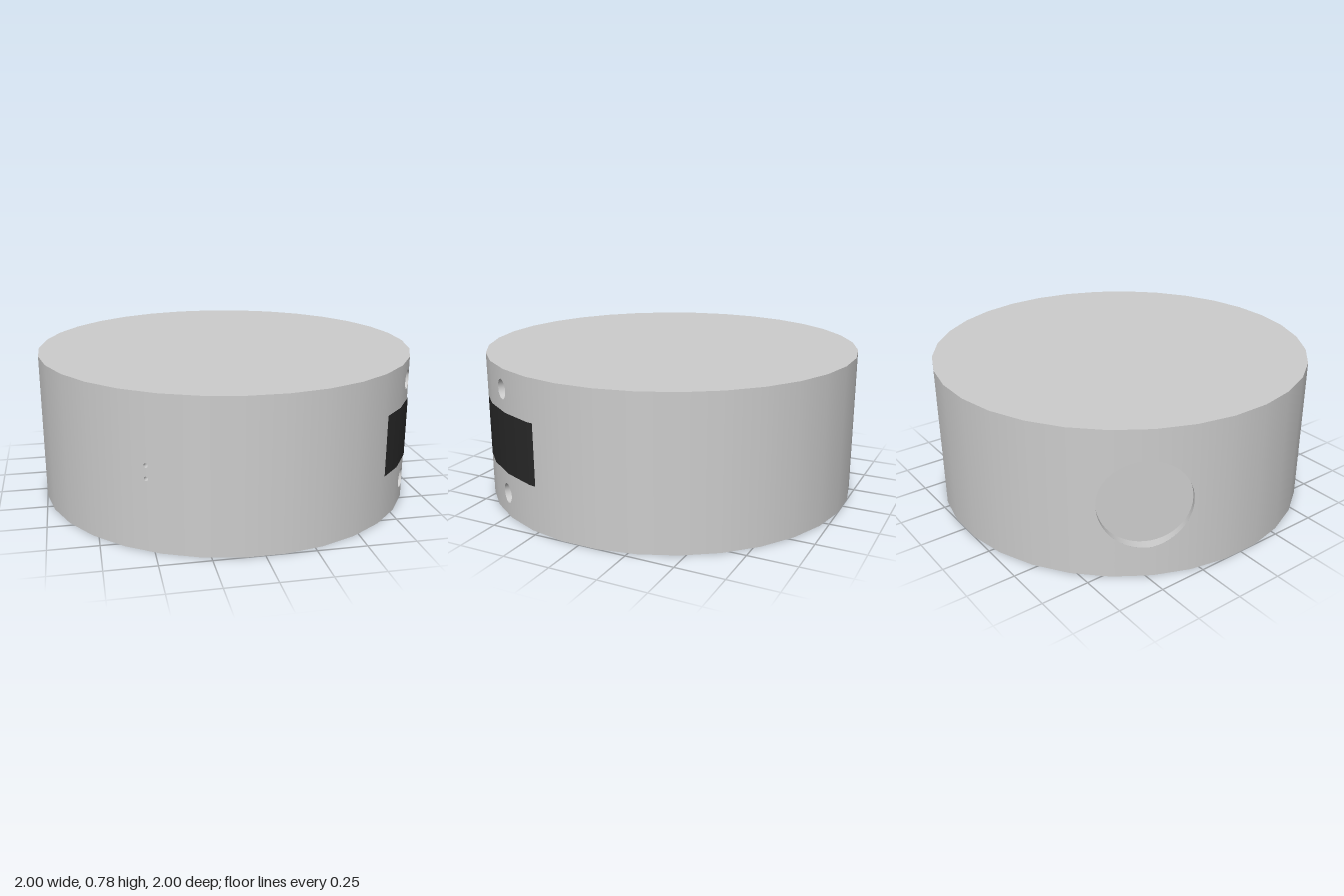
import * as THREE from 'three';
import { mergeGeometries } from 'three/addons/utils/BufferGeometryUtils.js';

const H = 0.78, CEIL = 0.743, SIDES = 32;
const STEP = (Math.PI * 2) / SIDES, HALF = STEP / 2;
const OUTER = 1 / Math.cos(HALF), INNER = 0.9;
const rad = THREE.MathUtils.degToRad;

// Direction at an angle turned from +z towards +x
const dir = (az) => new THREE.Vector3(Math.sin(az), 0, Math.cos(az));

// Point on the 32-sided wall
function onWall(az, y, r) {
  const off = az - Math.round(az / STEP) * STEP;
  const p = dir(az).multiplyScalar((r * Math.cos(HALF)) / Math.cos(off));
  p.y = y;
  return p;
}

// Grid surface from a rule giving [point, normal]
function surface(rule, nu, nv, flip = false) {
  const pos = [], nor = [], uv = [], idx = [];
  for (let j = 0; j <= nv; j++) {
    for (let i = 0; i <= nu; i++) {
      const [p, n] = rule(i / nu, j / nv);
      pos.push(p.x, p.y, p.z);
      nor.push(n.x, n.y, n.z);
      uv.push(i / nu, j / nv);
      if (i < nu && j < nv) {
        const a = j * (nu + 1) + i, b = a + 1, c = a + nu + 1, d = c + 1;
        if (flip) idx.push(a, c, b, b, c, d);
        else idx.push(a, b, c, b, d, c);
      }
    }
  }
  const g = new THREE.BufferGeometry();
  g.setAttribute('position', new THREE.Float32BufferAttribute(pos, 3));
  g.setAttribute('normal', new THREE.Float32BufferAttribute(nor, 3));
  g.setAttribute('uv', new THREE.Float32BufferAttribute(uv, 2));
  g.setIndex(idx);
  return g;
}

// Plain piece of wall; sign +1 faces out, -1 faces in
function wallPiece(a0, a1, y0, y1, r, sign, nu = 1) {
  return surface((u, v) => {
    const az = a0 + (a1 - a0) * u;
    return [onWall(az, y0 + (y1 - y0) * v, r), dir(az).multiplyScalar(sign)];
  }, nu, 1, sign < 0);
}

// Angle on the wall reached by a sideways offset from the hole axis
const holeAngle = (hole, t, r) => hole.az + Math.asin((hole.r * Math.cos(t)) / r);

// Wall piece with a round hole, spread from the circle to a rectangle
function holedPiece(hole, r, sign, top) {
  const { a0, a1, y0 } = hole;
  const y1 = Math.min(hole.y1, top);
  return surface((u, v) => {
    const t = u * Math.PI * 2, c = Math.cos(t), s = Math.sin(t);
    const m = 1 / Math.max(Math.abs(c), Math.abs(s));
    const edgeA = hole.az + c * m * (c > 0 ? a1 - hole.az : hole.az - a0);
    const edgeY = hole.y + s * m * (s > 0 ? y1 - hole.y : hole.y - y0);
    const az = THREE.MathUtils.lerp(holeAngle(hole, t, r), edgeA, v);
    const y = THREE.MathUtils.lerp(hole.y + hole.r * s, edgeY, v);
    return [onWall(az, y, r), dir(az).multiplyScalar(sign)];
  }, 64, 8, sign > 0);
}

// Lining of a hole through the wall
function tunnel(hole) {
  const side = dir(hole.az + Math.PI / 2);
  return surface((u, v) => {
    const t = u * Math.PI * 2, y = hole.y + hole.r * Math.sin(t);
    const p = onWall(holeAngle(hole, t, OUTER), y, OUTER);
    p.lerp(onWall(holeAngle(hole, t, INNER), y, INNER), v);
    const n = side.clone().multiplyScalar(-Math.cos(t));
    n.y = -Math.sin(t);
    return [p, n];
  }, 48, 1);
}

export function createModel() {
  const model = new THREE.Group();
  const grey = new THREE.MeshStandardMaterial({ color: 0xcccccc });
  grey.name = 'light grey';
  const black = new THREE.MeshStandardMaterial({ color: 0x282828 });
  black.name = 'black';
  const add = (name, geometry, material = grey) => {
    const mesh = new THREE.Mesh(geometry, material);
    mesh.name = name;
    model.add(mesh);
    return mesh;
  };

  // Holes, each in its own block of wall facets
  const makeHole = (az, y, r, first, last, y0, y1) => ({
    az: rad(az), y, r, first, last, y0, y1,
    a0: first * STEP - HALF, a1: last * STEP + HALF,
  });
  const holes = [
    makeHole(59.5, 0.12, 0.051, 5, 6, 0, 0.395),
    makeHole(59.5, 0.67, 0.051, 5, 6, 0.395, H),
    makeHole(-32, 0.365, 0.011, -3, -3, 0, 0.398),
    makeHole(-32, 0.43, 0.011, -3, -3, 0.398, H),
    makeHole(240, 0.39, 0.23, 20, 23, 0, H),
  ];
  const taken = (k) => holes.some((h) =>
    [k, k - SIDES].some((n) => n >= h.first && n <= h.last));

  // Outer and inner walls
  for (const [name, r, sign, top] of [['outerWall', OUTER, 1, H], ['innerWall', INNER, -1, CEIL]]) {
    const parts = holes.map((h) => holedPiece(h, r, sign, top));
    for (let k = 0; k < SIDES; k++) {
      if (!taken(k)) parts.push(wallPiece(k * STEP - HALF, k * STEP + HALF, 0, top, r, sign));
    }
    add(name, mergeGeometries(parts));
  }
  add('holeLinings', mergeGeometries(holes.map(tunnel)));

  // Closed top, its underside, and the bottom rim
  const cap = (r) => new THREE.CircleGeometry(r, SIDES, HALF);
  add('topFace', cap(OUTER).rotateX(-Math.PI / 2).translate(0, H, 0));
  add('ceiling', cap(INNER).rotateX(Math.PI / 2).translate(0, CEIL, 0));
  add('bottomRim', new THREE.RingGeometry(INNER, OUTER, SIDES, 1, HALF).rotateX(Math.PI / 2));

  // Flat disc set into the large round opening
  const port = holes[4];
  const disc = add('recessedDisc', new THREE.CylinderGeometry(port.r, port.r, 0.03, 48).rotateX(Math.PI / 2));
  disc.position.copy(dir(port.az).multiplyScalar(0.935)).setY(port.y);
  disc.rotation.y = port.az;

  // Dark curved display between the two screw holes
  const edges = [41.8, 50.625, 61.875, 73.125, 75.3].map(rad);
  const strips = edges.slice(1).map((a, i) => wallPiece(edges[i], a, 0.24, 0.56, OUTER + 0.004, 1));
  add('displayPanel', mergeGeometries(strips), black);

  return model;
}
